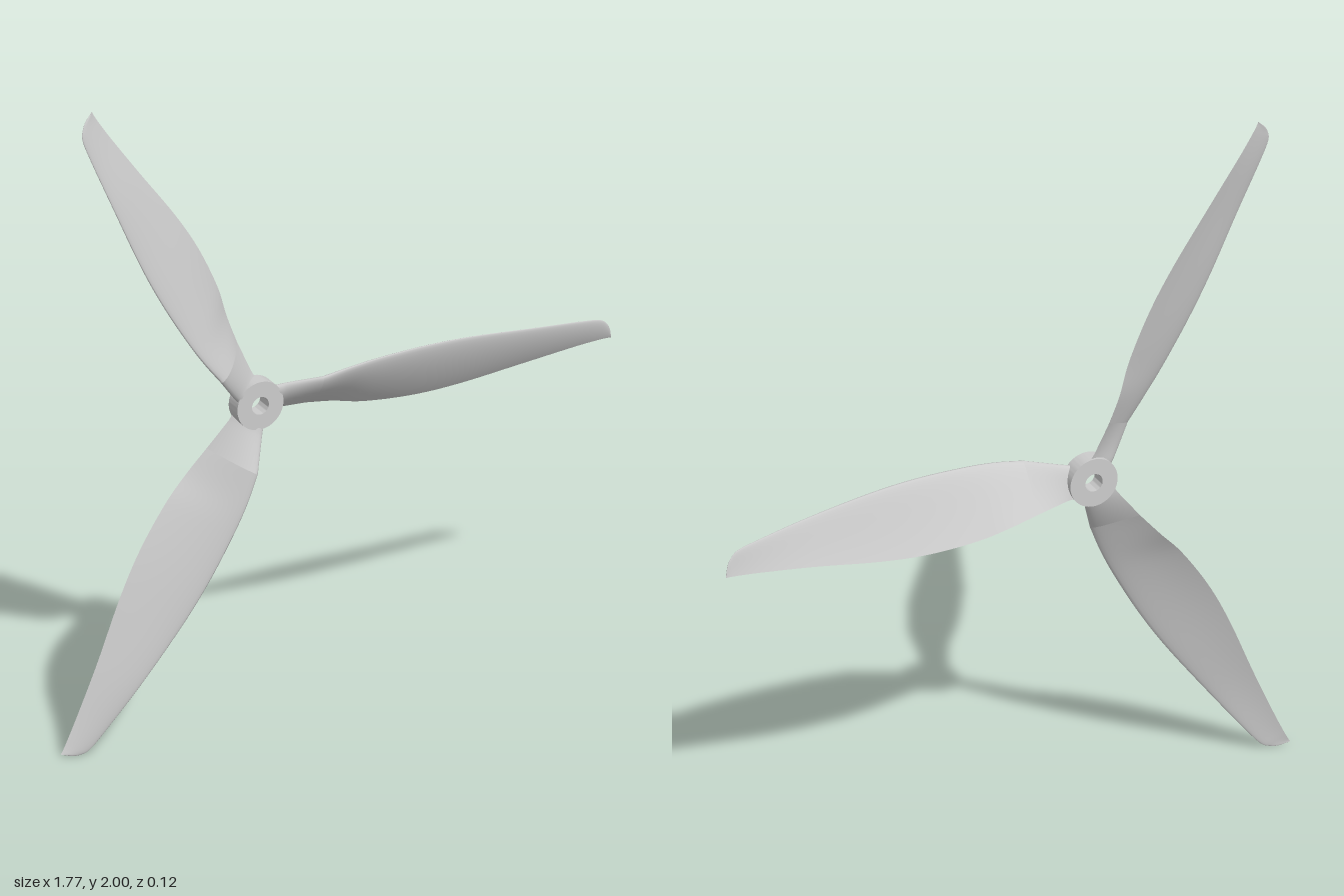
import * as THREE from 'three';
import { toCreasedNormals } from 'three/addons/utils/BufferGeometryUtils.js';

// Blade stations: radius, leading edge y/z, trailing edge y/z, thickness
const ROOT = [
  [0.04, 0.045, 0.0, -0.042, -0.032, 0.026],
  [0.08, 0.052, 0.012, -0.042, -0.036, 0.026],
  [0.18, 0.067, 0.055, -0.056, -0.052, 0.026],
];
const BLADE = [
  [0.18, 0.067, 0.055, -0.056, -0.052, 0.026],
  [0.27, 0.080, 0.056, -0.074, -0.060, 0.023],
  [0.37, 0.087, 0.053, -0.096, -0.056, 0.021],
  [0.52, 0.088, 0.047, -0.108, -0.050, 0.019],
  [0.67, 0.078, 0.038, -0.102, -0.042, 0.016],
  [0.87, 0.052, 0.023, -0.079, -0.031, 0.012],
  [1.03, 0.028, 0.003, -0.063, -0.027, 0.009],
  [1.10, 0.014, -0.006, -0.058, -0.025, 0.007],
  [1.125, -0.004, -0.011, -0.057, -0.024, 0.005],
  [1.138, -0.025, -0.016, -0.057, -0.023, 0.004],
  [1.146, -0.055, -0.022, -0.058, -0.023, 0.002],
];
const SIDE = 14; // points along each face of a section

// Lofts airfoil sections through the stations
function loft(stations, steps, smooth) {
  const curve = (f) => {
    const pts = stations.map(f);
    return new THREE.CatmullRomCurve3(pts, false, 'catmullrom', smooth ? 0.5 : 0.15);
  };
  const lead = curve((s) => new THREE.Vector3(s[0], s[1], s[2]));
  const trail = curve((s) => new THREE.Vector3(s[0], s[3], s[4]));
  const thick = curve((s) => new THREE.Vector3(s[0], s[5], 0));
  const pos = [], index = [], ring = SIDE * 2 + 1;
  for (let i = 0; i <= steps; i++) {
    const a = trail.getPoint(i / steps), b = lead.getPoint(i / steps);
    const t = thick.getPoint(i / steps).y;
    const dy = b.y - a.y, dz = b.z - a.z, chord = Math.hypot(dy, dz) || 1;
    for (let j = 0; j < ring; j++) {
      // trailing edge -> front face -> leading edge -> back face -> trailing edge
      const front = j <= SIDE;
      const u = (1 - Math.cos(Math.PI * (front ? j : ring - 1 - j) / SIDE)) / 2;
      const v = 1 - u; // distance back from the leading edge
      const half = 5 * t * (0.2969 * Math.sqrt(v) - 0.126 * v - 0.3516 * v * v
        + 0.2843 * v ** 3 - 0.1036 * v ** 4);
      const off = 0.2 * chord * 0.8 * u * v * 0.8 + (front ? half : -half);
      pos.push(a.x, a.y + dy * u - (dz / chord) * off, a.z + dz * u + (dy / chord) * off);
    }
  }
  for (let i = 0; i < steps; i++) {
    for (let j = 0; j < ring - 1; j++) {
      const p = i * ring + j, q = p + ring;
      index.push(p, q, p + 1, q, q + 1, p + 1);
    }
  }
  const geo = new THREE.BufferGeometry();
  geo.setAttribute('position', new THREE.Float32BufferAttribute(pos, 3));
  geo.setIndex(index);
  geo.computeVertexNormals();
  return geo;
}

export function createModel() {
  const model = new THREE.Group();
  model.name = 'propeller';
  const material = new THREE.MeshStandardMaterial({ color: 0xcccccc, side: THREE.DoubleSide });

  const rotor = new THREE.Group();
  rotor.name = 'rotor';
  rotor.position.set(-0.265, 0.978, 0);
  model.add(rotor);

  // Hub disc with shaft hole
  const disc = new THREE.Shape().absarc(0, 0, 0.074, 0, Math.PI * 2);
  disc.holes.push(new THREE.Path().absarc(0, 0, 0.027, 0, Math.PI * 2, true));
  const hubGeo = new THREE.ExtrudeGeometry(disc, { depth: 0.052, bevelEnabled: false, curveSegments: 40 });
  const hub = new THREE.Mesh(toCreasedNormals(hubGeo, 0.6), material);
  hub.name = 'hub';
  hub.position.z = -0.04;
  rotor.add(hub);

  // Three identical twisted blades
  const rootGeo = loft(ROOT, 10, false);
  const bladeGeo = loft(BLADE, 60, true);
  for (let k = 0; k < 3; k++) {
    const arm = new THREE.Group();
    arm.name = 'blade' + (k + 1);
    const root = new THREE.Mesh(rootGeo, material);
    root.name = 'bladeRoot';
    const blade = new THREE.Mesh(bladeGeo, material);
    blade.name = 'bladeSurface';
    arm.add(root, blade);
    arm.rotation.z = (k * Math.PI * 2) / 3;
    rotor.add(arm);
  }
  return model;
}
